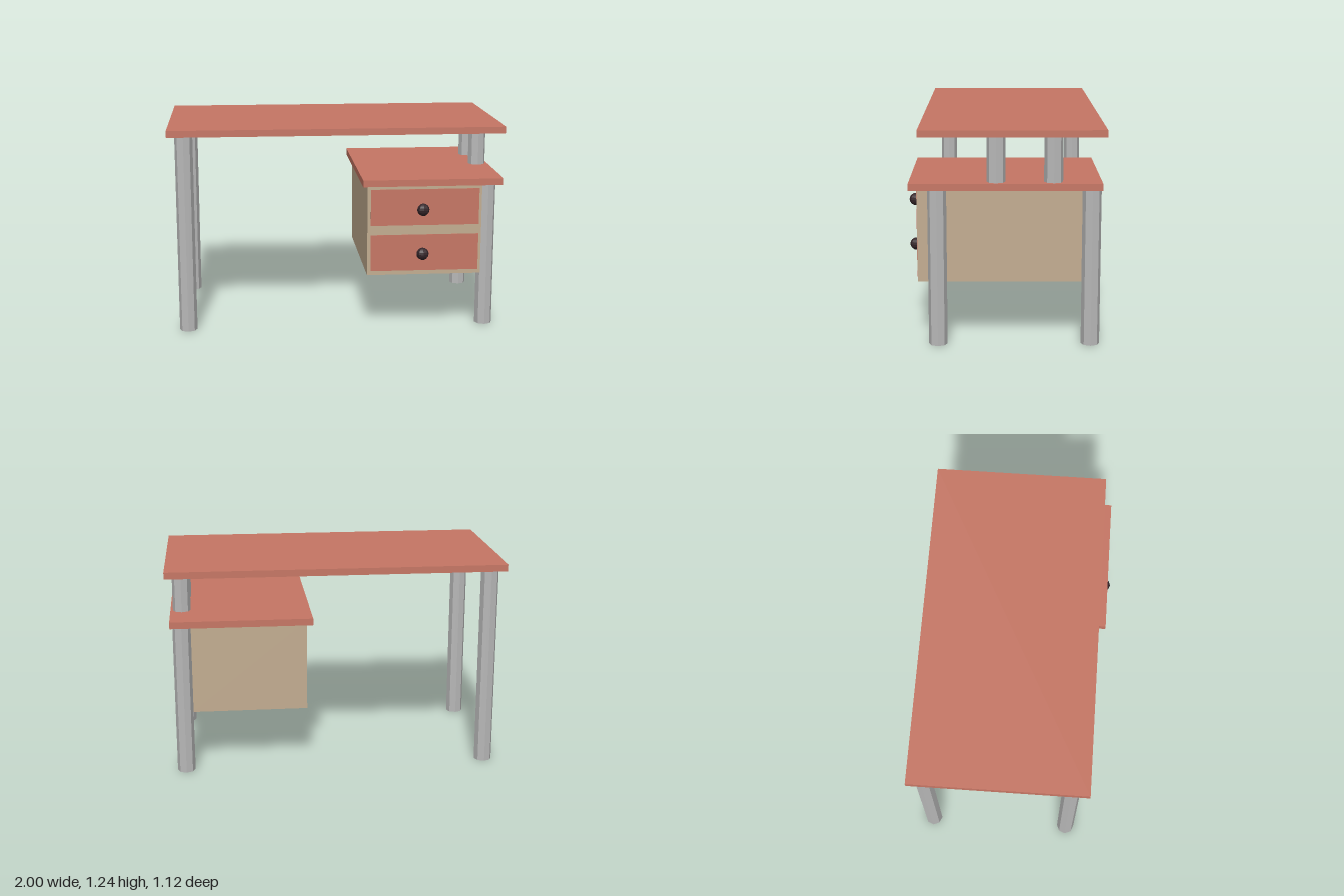
import * as THREE from 'three';

export function createModel() {
  const desk = new THREE.Group();
  desk.name = 'desk';

  const material = (name, color, extra = {}) => {
    const m = new THREE.MeshStandardMaterial({ color, ...extra });
    m.name = name;
    return m;
  };
  const wood = material('red wood', 0xc67664);
  const panel = material('beige panel', 0xc3ad91);
  const metal = material('grey metal', 0xb9b9b9, { flatShading: true, side: THREE.DoubleSide });
  const dark = material('dark knob', 0x35262a, { flatShading: true });

  const add = (name, geometry, mat, x, y, z) => {
    const mesh = new THREE.Mesh(geometry, mat);
    mesh.name = name;
    mesh.position.set(x, y, z);
    desk.add(mesh);
  };
  // Box given by its low and high limits on each axis
  const box = (name, mat, [x0, x1], [y0, y1], [z0, z1]) =>
    add(name, new THREE.BoxGeometry(x1 - x0, y1 - y0, z1 - z0), mat,
      (x0 + x1) / 2, (y0 + y1) / 2, (z0 + z1) / 2);
  // Open eight-sided tube
  const post = (name, x, z, y0, y1) =>
    add(name, new THREE.CylinderGeometry(0.053, 0.053, y1 - y0, 8, 1, true), metal,
      x, (y0 + y1) / 2, z);

  // Two overlapping tops
  box('mainTop', wood, [-1, 1], [1.2, 1.24], [-0.56, 0.48]);
  box('lowerTop', wood, [0.145, 0.98], [0.9, 0.94], [-0.54, 0.535]);

  // Long legs on the right, shorter legs under the lower top
  for (const [end, z] of [['front', 0.38], ['back', -0.485]]) {
    post(end + 'RightLeg', -0.905, z, 0, 1.2);
    post(end + 'LeftLeg', 0.912, z, 0, 0.9);
  }

  // Short posts carrying the main top above the lower one
  post('frontSupportPost', 0.912, 0.05, 0.94, 1.2);
  post('backSupportPost', 0.912, -0.27, 0.94, 1.2);

  // Drawer cabinet
  box('cabinet', panel, [0.175, 0.861], [0.35, 0.9], [-0.44, 0.495]);

  // Drawer fronts and knobs
  for (const [name, y0, y1, knobY] of [
    ['upper', 0.655, 0.875, 0.755],
    ['lower', 0.375, 0.597, 0.484],
  ]) {
    box(name + 'DrawerFront', wood, [0.195, 0.845], [y0, y1], [0.493, 0.498]);
    add(name + 'DrawerKnob', new THREE.SphereGeometry(0.037, 8, 8), dark, 0.505, knobY, 0.524);
  }

  return desk;
}
